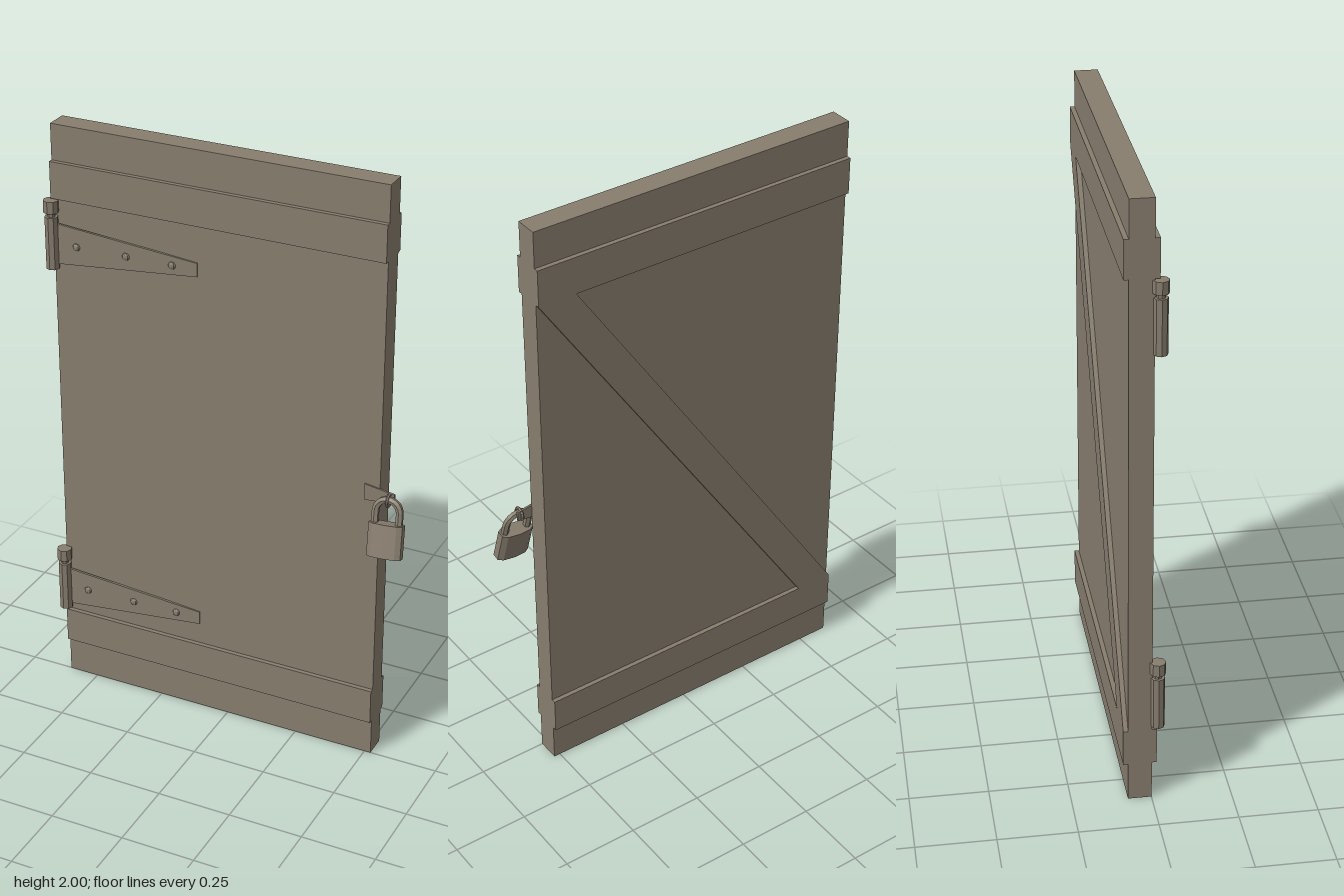
import * as THREE from 'three';

const wood = new THREE.MeshStandardMaterial({ color: 0x877d6e, flatShading: true });
wood.name = 'greyBrown';

function add(parent, name, geometry, x = 0, y = 0, z = 0) {
  const mesh = new THREE.Mesh(geometry, wood);
  mesh.name = name;
  mesh.position.set(x, y, z);
  parent.add(mesh);
  return mesh;
}

// Flat plate cut from an outline in x and y, extruded towards +z
function plate(points, depth) {
  const shape = new THREE.Shape(points.map(([x, y]) => new THREE.Vector2(x, y)));
  return new THREE.ExtrudeGeometry(shape, { depth, bevelEnabled: false });
}

// Strap hinge: knuckle, pin, cap, tapered strap and three bolts
function makeHinge(y) {
  const hinge = new THREE.Group();
  hinge.name = 'hinge';
  hinge.position.set(-0.602, y, 0.018);
  add(hinge, 'knuckle', new THREE.CylinderGeometry(0.022, 0.022, 0.175, 8), 0, 0.003, 0);
  add(hinge, 'pin', new THREE.CylinderGeometry(0.013, 0.013, 0.03, 8), 0, 0.095, 0);
  add(hinge, 'cap', new THREE.CylinderGeometry(0.025, 0.025, 0.04, 8), 0, 0.125, 0);

  const strap = new THREE.Group();
  strap.name = 'strap';
  strap.rotation.y = 0.025;
  hinge.add(strap);
  add(strap, 'strapPlate',
    plate([[0.015, -0.068], [0.5, -0.023], [0.5, 0.023], [0.015, 0.068]], 0.008), 0, 0, -0.008);
  for (const x of [0.085, 0.257, 0.415]) {
    const bolt = add(strap, 'bolt', new THREE.SphereGeometry(0.013, 8, 6), x, 0, 0);
    bolt.scale.z = 0.6;
  }
  return hinge;
}

// Padlock hanging from the hasp, its body swung forwards
function makePadlock() {
  const lock = new THREE.Group();
  lock.name = 'padlock';
  lock.position.set(0.557, 0.97, 0.017);
  lock.rotation.set(-0.25, 0, 0.06);

  const body = plate([
    [-0.056, -0.012], [-0.04, -0.022], [0, -0.026], [0.04, -0.022], [0.056, -0.012],
    [0.056, 0.012], [0.04, 0.022], [0, 0.026], [-0.04, 0.022], [-0.056, 0.012],
  ], 0.108);
  body.rotateX(-Math.PI / 2);
  add(lock, 'lockBody', body, 0, -0.178, 0);

  // Bent bar with straight legs
  const path = new THREE.CurvePath();
  const v = (x, y) => new THREE.Vector3(x, y, 0);
  path.add(new THREE.LineCurve3(v(-0.04, -0.085), v(-0.04, -0.035)));
  path.add(new THREE.CubicBezierCurve3(v(-0.04, -0.035), v(-0.04, 0.018), v(0.04, 0.018), v(0.04, -0.035)));
  path.add(new THREE.LineCurve3(v(0.04, -0.035), v(0.04, -0.085)));
  add(lock, 'shackle', new THREE.TubeGeometry(path, 20, 0.012, 6));
  return lock;
}

export function createModel() {
  const door = new THREE.Group();
  door.name = 'door';

  add(door, 'doorPanel', new THREE.BoxGeometry(1.125, 2, 0.075), -0.041, 1, -0.0365);

  // Cross battens on both faces
  for (const y of [0.19, 1.82]) {
    add(door, 'frontBatten', new THREE.BoxGeometry(1.125, 0.122, 0.016), -0.041, y, 0.008);
    add(door, 'backBatten', new THREE.BoxGeometry(1.125, 0.122, 0.016), -0.041, y, -0.081);
  }

  // Diagonal brace across the back
  add(door, 'backBrace',
    plate([[-0.603, 0.251], [-0.472, 0.251], [0.521, 1.759], [0.393, 1.759]], 0.016), 0, 0, -0.089);

  for (const y of [0.35, 1.61]) door.add(makeHinge(y));

  // Hasp plate and the staple that holds the padlock
  const hasp = new THREE.Group();
  hasp.name = 'hasp';
  door.add(hasp);
  add(hasp, 'haspPlate',
    plate([[0.472, 0.95], [0.572, 0.958], [0.572, 0.99], [0.472, 1.006]], 0.007), 0, 0, -0.001);
  const staple = add(hasp, 'staple', new THREE.TorusGeometry(0.019, 0.005, 6, 12), 0.557, 0.972, 0.014);
  staple.rotation.y = Math.PI / 2;
  door.add(makePadlock());

  return door;
}
